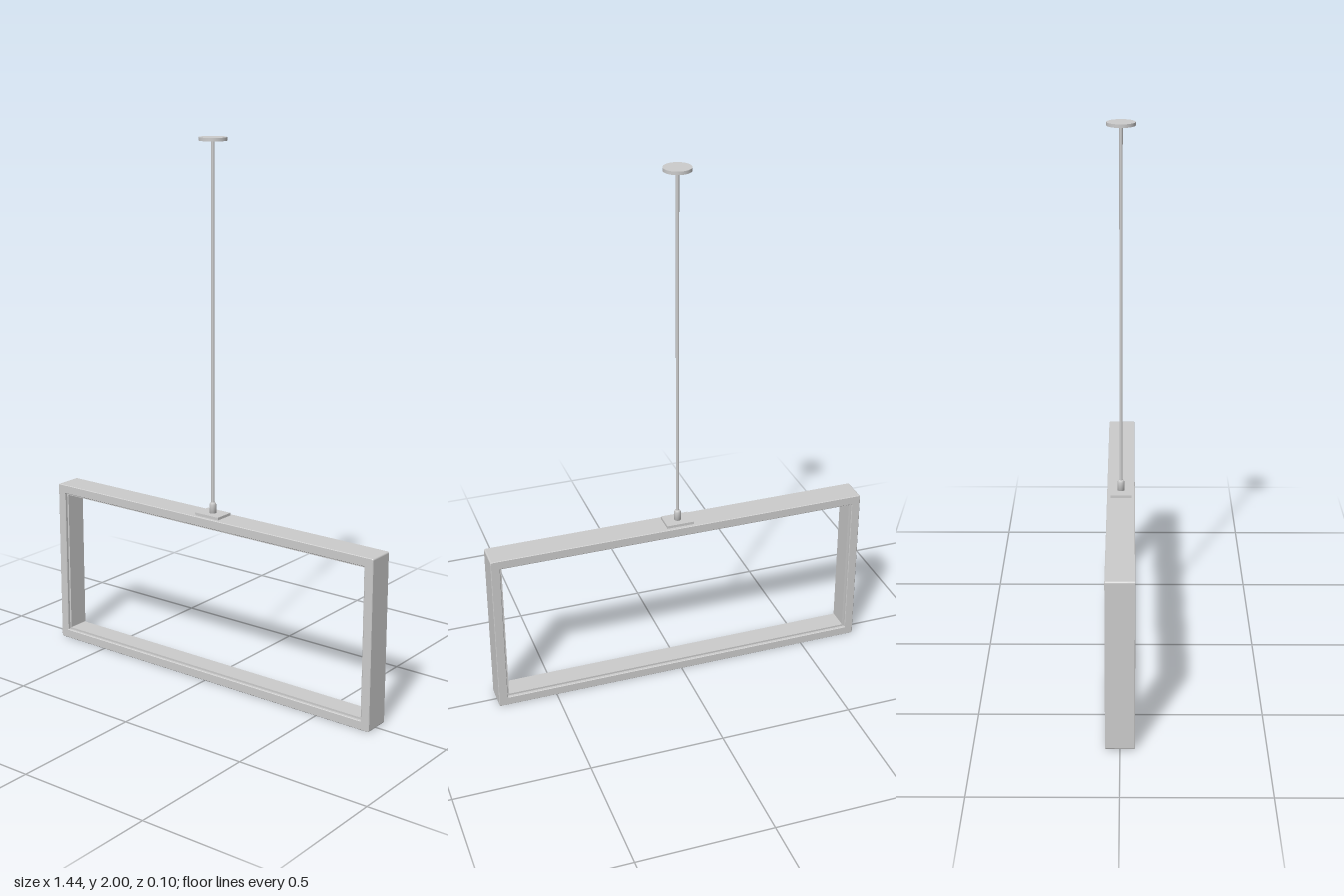
import * as THREE from 'three';

const W = 1.444, H = 0.634; // outer size of the frame

// Rectangle path inset from the frame outline, with rounded corners
function outline(PathType, inset, r) {
  const x = W / 2 - inset, b = inset, t = H - inset, q = Math.PI / 2;
  const p = new PathType();
  p.moveTo(-x + r, b);
  p.lineTo(x - r, b).absarc(x - r, b + r, r, -q, 0, false);
  p.lineTo(x, t - r).absarc(x - r, t - r, r, 0, q, false);
  p.lineTo(-x + r, t).absarc(-x + r, t - r, r, q, 2 * q, false);
  p.lineTo(-x, b + r).absarc(-x + r, b + r, r, 2 * q, 3 * q, false);
  return p;
}

// Rectangular ring between two insets, centred on z = 0
function ring(outer, inner, depth, r, bevel) {
  const shape = outline(THREE.Shape, outer, r);
  shape.holes.push(outline(THREE.Path, inner, 0.002));
  const geo = new THREE.ExtrudeGeometry(shape, {
    depth: depth - 2 * bevel, bevelEnabled: bevel > 0, bevelThickness: bevel,
    bevelSize: bevel, bevelOffset: -bevel, bevelSegments: 1, curveSegments: 4,
  });
  return geo.translate(0, 0, bevel - depth / 2);
}

export function createModel() {
  const group = new THREE.Group();
  const material = new THREE.MeshStandardMaterial({ color: 0xcccccc });
  const add = (name, geo, y = 0) => {
    const mesh = new THREE.Mesh(geo, material);
    mesh.name = name;
    mesh.position.y = y;
    group.add(mesh);
  };

  // Hanging frame with a recessed strip lining its opening
  add('outerFrame', ring(0, 0.034, 0.102, 0.006, 0.002));
  add('innerStrip', ring(0.033, 0.041, 0.08, 0.002, 0));

  // Mounting plate and the fitting that grips the rod
  add('mountingPlate', new THREE.BoxGeometry(0.104, 0.01, 0.076), 0.639);
  const fitting = [[0, 0.643], [0.013, 0.643], [0.013, 0.676], [0.009, 0.684], [0, 0.684]];
  add('rodFitting', new THREE.LatheGeometry(fitting.map(([x, y]) => new THREE.Vector2(x, y)), 24));

  // Suspension rod up to the ceiling canopy
  add('suspensionRod', new THREE.CylinderGeometry(0.006, 0.006, 1.32, 20), 1.335);
  add('ceilingCanopy', new THREE.CylinderGeometry(0.05, 0.05, 0.012, 48), 1.994);
  return group;
}
